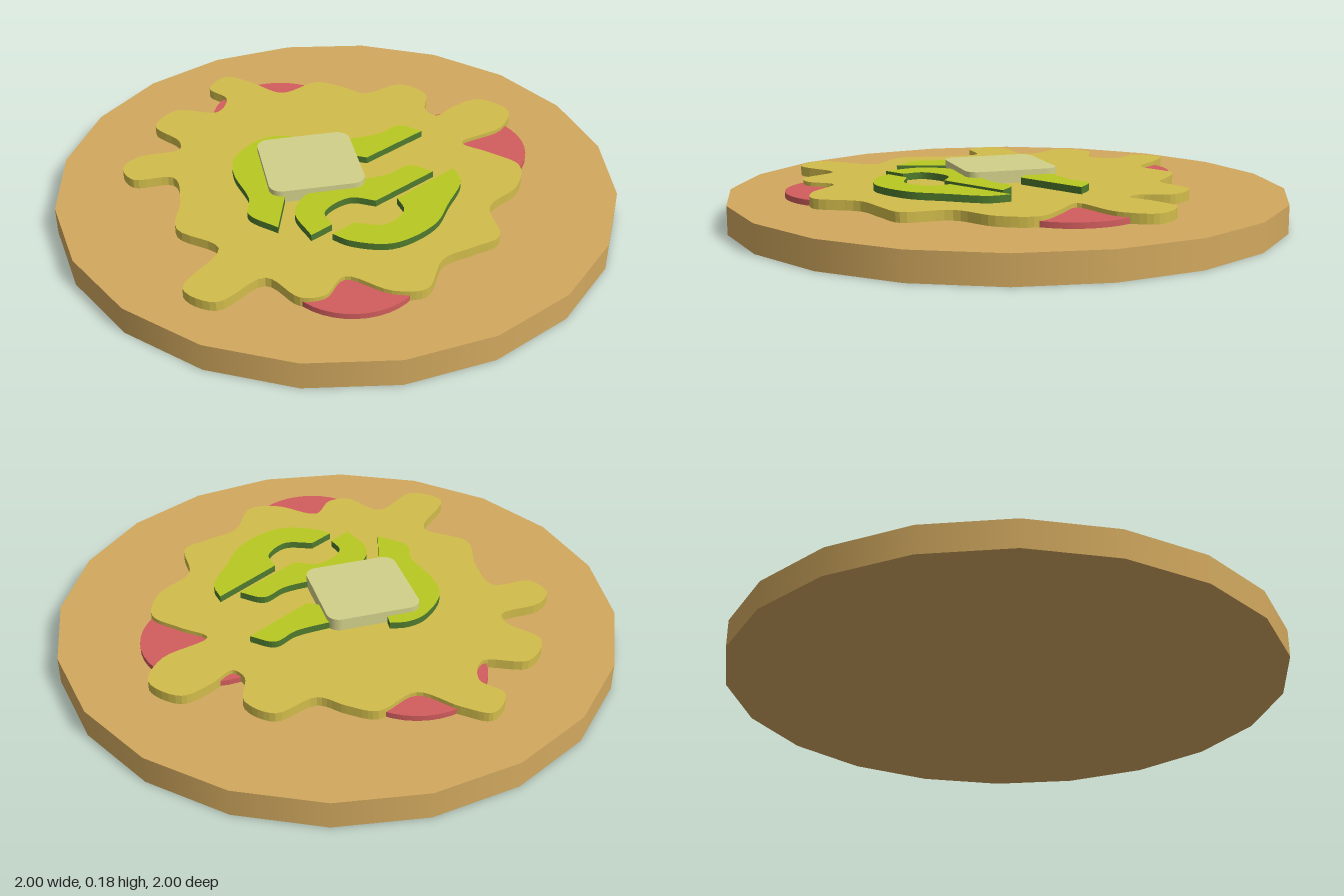
import * as THREE from 'three';

const mat = (name, color) => Object.assign(new THREE.MeshStandardMaterial({ color }), { name });

// Samples a smooth curve through [x, z] points
function smooth(points, closed = false) {
  const curve = new THREE.CatmullRomCurve3(points.map(([x, z]) => new THREE.Vector3(x, -z, 0)), closed);
  return curve.getPoints(points.length * 6).map(p => new THREE.Vector2(p.x, p.y));
}

// Flat slab lying on y = bottom, cut from a plan outline
function slab(name, shape, bottom, top, material) {
  const geo = new THREE.ExtrudeGeometry(shape, { depth: top - bottom, bevelEnabled: false, curveSegments: 8 });
  geo.rotateX(-Math.PI / 2);
  geo.translate(0, bottom, 0);
  const mesh = new THREE.Mesh(geo, material);
  mesh.name = name;
  return mesh;
}

function disc(name, x, z, r, bottom, top, sides, material) {
  const mesh = new THREE.Mesh(new THREE.CylinderGeometry(r, r, top - bottom, sides), material);
  mesh.position.set(x, (bottom + top) / 2, z);
  mesh.name = name;
  return mesh;
}

export function createModel() {
  const group = new THREE.Group();
  group.name = 'flatbread';
  const crust = mat('crust', 0xd2a95f);
  const cheese = mat('cheese', 0xd1bc4b);
  const tomato = mat('tomato', 0xd25d5d);
  const flesh = mat('pepperFlesh', 0xb8c921);
  const skin = mat('pepperSkin', 0x4f7a2d);
  const butter = mat('butter', 0xd2d08a);

  // Base
  group.add(disc('base', 0, 0, 1, 0, 0.1, 20, crust));

  // Tomato slices peeking out under the cheese
  [[-0.14, -0.43, 0.25], [0.47, -0.06, 0.25], [-0.065, 0.56, 0.23]].forEach(([x, z, r], i) =>
    group.add(disc('tomatoSlice' + (i + 1), x, z, r, 0.098, 0.12, 40, tomato)));

  // Melted cheese with wavy rim
  const rim = [
    [-0.30, -0.74], [-0.21, -0.68], [-0.10, -0.57], [0.05, -0.625], [0.14, -0.57], [0.22, -0.50],
    [0.37, -0.54], [0.45, -0.45], [0.42, -0.33], [0.45, -0.28], [0.53, -0.33], [0.64, -0.365],
    [0.73, -0.26], [0.66, -0.145], [0.49, -0.075], [0.57, 0.01], [0.65, 0.11], [0.60, 0.24],
    [0.47, 0.34], [0.45, 0.51], [0.35, 0.55], [0.235, 0.59], [0.14, 0.73], [0.03, 0.715],
    [-0.10, 0.615], [-0.18, 0.695], [-0.26, 0.69], [-0.35, 0.57], [-0.52, 0.66], [-0.615, 0.57],
    [-0.475, 0.385], [-0.60, 0.25], [-0.57, 0.085], [-0.58, -0.06], [-0.72, -0.075], [-0.75, -0.16],
    [-0.69, -0.22], [-0.54, -0.24], [-0.535, -0.30], [-0.61, -0.42], [-0.52, -0.52], [-0.37, -0.475],
    [-0.32, -0.57], [-0.375, -0.66],
  ];
  group.add(slab('cheese', new THREE.Shape(smooth(rim, true).slice(0, -1)), 0.1, 0.135, cheese));

  // Pepper slices: outer and inner edge, joined by straight cuts
  const hook = [
    [[-0.17, 0.41], [-0.20, 0.27], [-0.13, 0.165], [0, 0.13], [0.165, 0.11], [0.25, 0.07], [0.325, 0.125]],
    [[0.085, 0.26], [0, 0.225], [-0.10, 0.29], [-0.09, 0.365]],
  ];
  const slices = {
    pepperFrontUpper: hook,
    pepperBack: hook.map(edge => edge.map(([x, z]) => [x + 0.03, z - 0.27])),
    pepperFrontLower: [
      [[0.40, 0.12], [0.405, 0.20], [0.325, 0.325], [0.245, 0.435], [0.085, 0.508], [-0.05, 0.465], [-0.10, 0.417]],
      [[-0.015, 0.37], [0.085, 0.40], [0.165, 0.335], [0.16, 0.26]],
    ],
    pepperRight: [
      [[-0.13, -0.21], [-0.19, -0.22], [-0.26, -0.20], [-0.355, -0.10], [-0.37, 0], [-0.34, 0.16], [-0.355, 0.25], [-0.27, 0.345]],
      [[-0.185, 0.07], [-0.22, -0.01], [-0.19, -0.08], [-0.14, -0.11]],
    ],
  };
  for (const [name, edges] of Object.entries(slices)) {
    const shape = new THREE.Shape(edges.flatMap(edge => smooth(edge)));
    group.add(slab(name, shape, 0.135, 0.16, [flesh, skin]));
  }

  // Butter pat with rounded corners
  const h = 0.17, r = 0.045, cx = -0.095;
  const square = new THREE.Shape();
  for (let i = 0; i < 4; i++) {
    const a = i * Math.PI / 2 + Math.PI / 4;
    const d = (h - r) * Math.SQRT2;
    square.absarc(cx + d * Math.cos(a), d * Math.sin(a), r, i * Math.PI / 2, (i + 1) * Math.PI / 2);
  }
  group.add(slab('butterPat', square, 0.135, 0.18, butter));

  return group;
}
